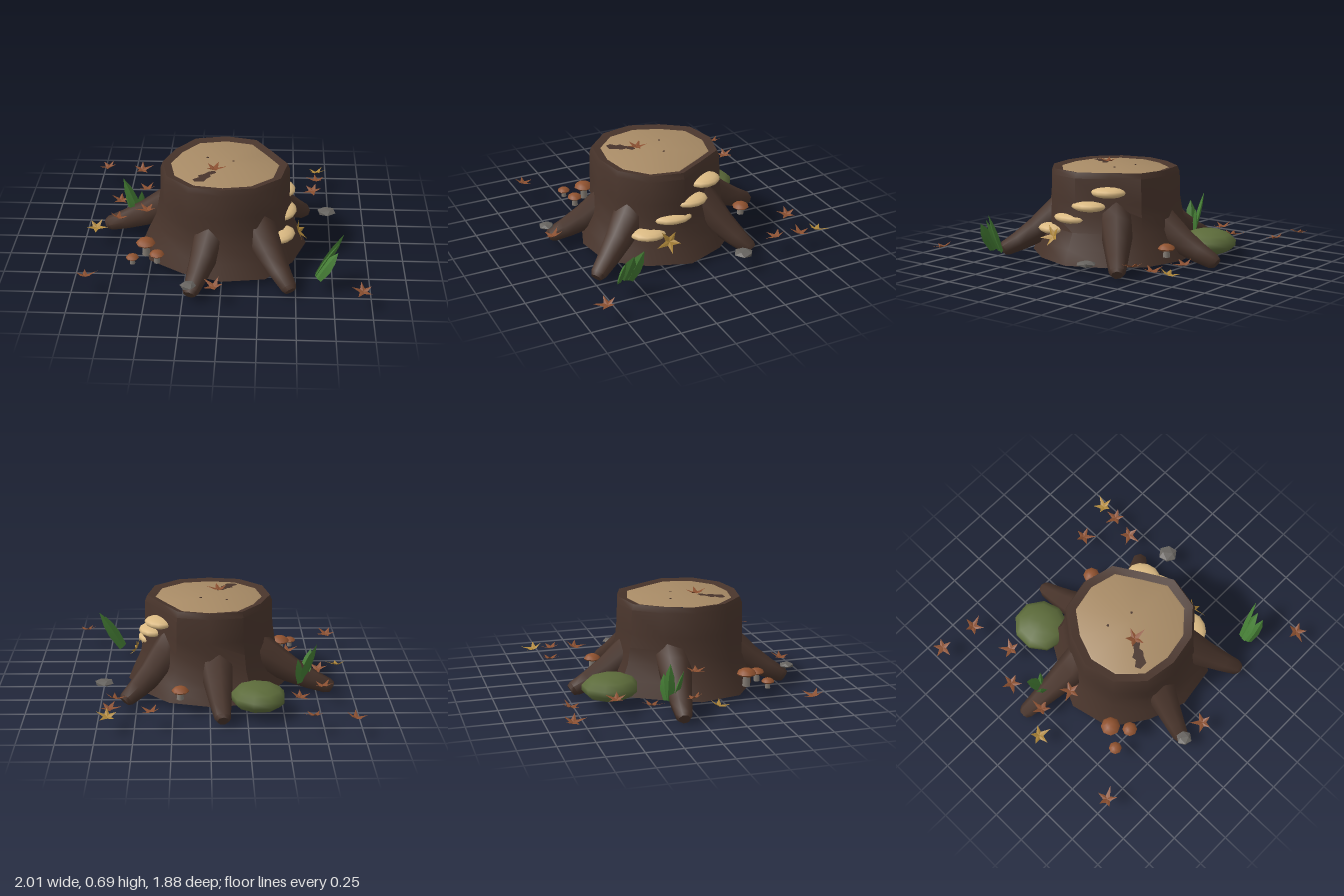
import * as THREE from 'three';
import { toCreasedNormals } from 'three/addons/utils/BufferGeometryUtils.js';

const mat = (name, color, side = THREE.FrontSide) => {
  const m = new THREE.MeshStandardMaterial({ color, side });
  m.name = name;
  return m;
};
const M = {
  bark: mat('bark', 0x48342b),
  wood: mat('cutWood', 0xa78a65),
  rust: mat('rustLeaf', 0x8a4f30, THREE.DoubleSide),
  gold: mat('goldLeaf', 0xb0883a, THREE.DoubleSide),
  cap: mat('mushroomCap', 0x90522f),
  stem: mat('mushroomStem', 0x817a72),
  shelf: mat('shelfFungus', 0xdbba83),
  grass: mat('grass', 0x447c34, THREE.DoubleSide),
  moss: mat('moss', 0x5c6b3a),
  stone: mat('stone', 0x66635f),
};

// Trunk radii every 30 degrees, starting at the front and turning to +x
const BASE = [.555, .59, .555, .576, .54, .555, .555, .595, .52, .575, .585, .53];
const TOP = [.43, .45, .466, .452, .392, .445, .442, .455, .42, .442, .457, .455];
const CENTRE_Z = 0.08;

// Profile rows: [radius factor, height, blend from base radii to top radii]
function trunkGeometry(rows) {
  const g = new THREE.LatheGeometry(rows.map(([k, y]) => new THREE.Vector2(k, y)), 12);
  const p = g.attributes.position;
  for (let i = 0; i < p.count; i++) {
    const seg = Math.floor(i / rows.length) % 12;
    const [k, y, t] = rows[i % rows.length];
    const r = k * THREE.MathUtils.lerp(BASE[seg], TOP[seg], t);
    const a = seg * Math.PI / 6;
    p.setXYZ(i, r * Math.sin(a), y, r * Math.cos(a) + CENTRE_Z);
  }
  return toCreasedNormals(g, 0.75);
}

// Tapered root from a point inside the trunk to its tip, sagging a little midway
function rootGeometry(from, to) {
  const a = new THREE.Vector3(...from), d = new THREE.Vector3(...to).sub(a);
  const profile = [[.13, 0], [.118, .25], [.094, .5], [.073, .75], [.056, .95], [.04, 1], [0, 1]];
  const g = new THREE.LatheGeometry(profile.map(([r, t]) => new THREE.Vector2(r, t * d.length())), 7);
  g.applyQuaternion(new THREE.Quaternion().setFromUnitVectors(new THREE.Vector3(0, 1, 0), d.clone().normalize()));
  g.translate(a.x, a.y, a.z);
  const p = g.attributes.position;
  for (let i = 0; i < p.count; i++) {
    const t = profile[i % profile.length][1];
    p.setY(i, Math.max(0, p.getY(i) - 0.03 * Math.sin(Math.PI * t)));
  }
  return toCreasedNormals(g, 0.95);
}

// Five-lobed leaf, cupped upwards, with one long lobe
function leafGeometry() {
  const lobes = [1.3, 1.05, 0.9, 0.95, 1.1];
  const pos = [0, 0, 0], idx = [];
  for (let i = 0; i < 10; i++) {
    const a = i * Math.PI / 5, tip = i % 2 === 0;
    const r = tip ? 0.07 * lobes[i / 2] : 0.028;
    pos.push(r * Math.sin(a), tip ? 0.024 : 0.004, r * Math.cos(a));
    idx.push(0, i + 1, (i + 1) % 10 + 1);
  }
  const g = new THREE.BufferGeometry();
  g.setAttribute('position', new THREE.Float32BufferAttribute(pos, 3));
  g.setIndex(idx);
  const flat = g.toNonIndexed();
  flat.computeVertexNormals();
  return flat;
}

// Four-sided flattened blade of unit length
function bladeGeometry() {
  const pts = [[0, 0], [.03, 0], [.043, .4], [.032, .7], [0, 1]].map(([x, y]) => new THREE.Vector2(x, y));
  return toCreasedNormals(new THREE.LatheGeometry(pts, 4).scale(1, 1, 0.4), 0.3);
}

export function createModel() {
  const model = new THREE.Group();
  model.name = 'treeStump';
  const add = (name, geometry, material, pos = [0, 0, 0], parent = model) => {
    const m = new THREE.Mesh(geometry, material);
    m.name = name;
    m.position.set(...pos);
    parent.add(m);
    return m;
  };

  // Trunk with a raised bark rim, and the cut face inside it
  add('trunk', trunkGeometry([
    [0, .04, 0], [1, .04, 0], [.95, .14, .1], [.91, .25, .35], [.97, .36, .75],
    [1.01, .45, 1], [1, .62, 1], [.965, .66, 1], [.82, .645, 1],
  ]), M.bark);
  add('cutFace', trunkGeometry([[.835, .647, 1], [.81, .652, 1], [0, .652, 1]]), M.wood);

  // Dark crack and two knots on the cut face
  const crack = new THREE.Shape([
    [-.06, -.2], [-.1, -.21], [-.13, -.25], [-.17, -.27], [-.165, -.3], [-.205, -.33],
    [-.19, -.365], [-.13, -.365], [-.11, -.32], [-.085, -.29], [-.09, -.26], [-.05, -.23],
  ].map(([x, y]) => new THREE.Vector2(x, y)));
  add('crack', new THREE.ShapeGeometry(crack).rotateX(-Math.PI / 2), M.bark, [0, .655, 0]);
  for (const [x, z] of [[-.12, -.01], [.06, .04]])
    add('knot', new THREE.CylinderGeometry(.009, .009, .004, 6), M.bark, [x, .652, z]);

  // Roots
  const roots = [
    [[-.28, .34, -.05], [-.86, .042, -.13]],
    [[-.04, .35, -.2], [-.085, .042, -.72]],
    [[.22, .4, -.1], [.585, .042, -.375]],
    [[.19, .41, .3], [.465, .042, .735]],
    [[-.05, .37, .33], [-.205, .042, .81]],
  ];
  for (const [from, to] of roots) add('root', rootGeometry(from, to), M.bark);

  // Shelf fungi climbing the +x side
  const shelves = [
    [.35, .53, -.125, .12], [.4, .43, .005, .125], [.41, .335, .15, .14], [.395, .24, .325, .125],
  ];
  for (const [x, y, z, half] of shelves) {
    const s = add('shelfFungus', new THREE.SphereGeometry(1, 12, 8), M.shelf, [x, y, z]);
    s.scale.set(.095, .037, half);
    s.rotation.y = -Math.atan2(z - CENTRE_Z, x) * 0.8;
  }

  // Mushrooms: [x, z, cap radius, cap base height]
  const mushrooms = [[-.525, .41, .068, .192], [-.44, .515, .052, .168], [-.605, .535, .045, .152], [.2, -.5, .06, .162]];
  for (const [x, z, r, y] of mushrooms) {
    const g = new THREE.Group();
    g.name = 'mushroom';
    g.position.set(x, 0, z);
    model.add(g);
    const capPts = [[0, 0], [.85, -.05], [1, .12], [.8, .4], [.42, .6], [0, .66]]
      .map(([a, b]) => new THREE.Vector2(a * r, b * r));
    add('mushroomCap', toCreasedNormals(new THREE.LatheGeometry(capPts, 8), 0.8), M.cap, [0, y, 0], g);
    const h = y - .105;
    add('mushroomStem', new THREE.CylinderGeometry(r * .33, r * .42, h, 7), M.stem, [0, .11 + h / 2, 0], g);
  }

  // Moss mound
  const moss = add('mossMound', new THREE.SphereGeometry(1, 9, 7), M.moss, [-.325, .125, -.495]);
  moss.scale.set(.19, .09, .2);
  moss.rotation.y = 0.3;

  // Stones
  for (const [x, z, r] of [[.73, -.23, .07], [-.21, .825, .056]]) {
    const s = add('stone', toCreasedNormals(new THREE.IcosahedronGeometry(1, 0), 0.1), M.stone, [x, .125, z]);
    s.scale.set(r, .021, r);
    s.rotation.y = x * 3;
  }

  // Grass blades: base point, tip and twist about the blade's own axis
  const blade = bladeGeometry();
  const blades = [
    [[.65, .09, .58], [.815, .375, .545], .7], [[.64, .09, .61], [.78, .33, .6], 1.1], [[.65, .09, .65], [.775, .295, .655], 2.3],
    [[-.635, .1, -.17], [-.74, .385, -.19], .7], [[-.65, .1, -.14], [-.71, .32, -.09], 2.5], [[-.63, .1, -.18], [-.61, .28, -.2], .9],
  ];
  for (const [a, b, twist] of blades) {
    const from = new THREE.Vector3(...a), d = new THREE.Vector3(...b).sub(from);
    const m = add('grassBlade', blade, M.grass, a);
    m.scale.y = d.length();
    m.quaternion.setFromUnitVectors(new THREE.Vector3(0, 1, 0), d.normalize());
    m.rotateY(twist);
  }

  // Fallen leaves: [x, y, z, gold?]
  const leaf = leafGeometry();
  const leaves = [
    [-.94, .13, -.88], [-.675, .13, -.84], [-.605, .13, -.52], [-.78, .13, -.33], [-.91, .13, .085, 1],
    [-.765, .145, -.035], [-.55, .255, .04], [.39, .13, -.77], [.67, .13, -.84, 1], [.665, .13, -.71],
    [.635, .13, -.54], [-.9, .13, .745], [-.04, .13, .84], [.935, .13, .86], [-.065, .665, .19],
  ];
  leaves.forEach(([x, y, z, gold], i) => {
    const m = add('fallenLeaf', leaf, gold ? M.gold : M.rust, [x, y, z]);
    m.rotation.set(0.2 * Math.sin(i * 2.1), i * 1.9, 0.2 * Math.cos(i * 1.3));
  });

  // Gold leaf stuck upright against the bark
  const stuck = add('stuckLeaf', leaf, M.gold, [.52, .215, .22]);
  stuck.rotation.set(0.3, 0, -1.05);
  stuck.scale.setScalar(1.12);

  return model;
}
